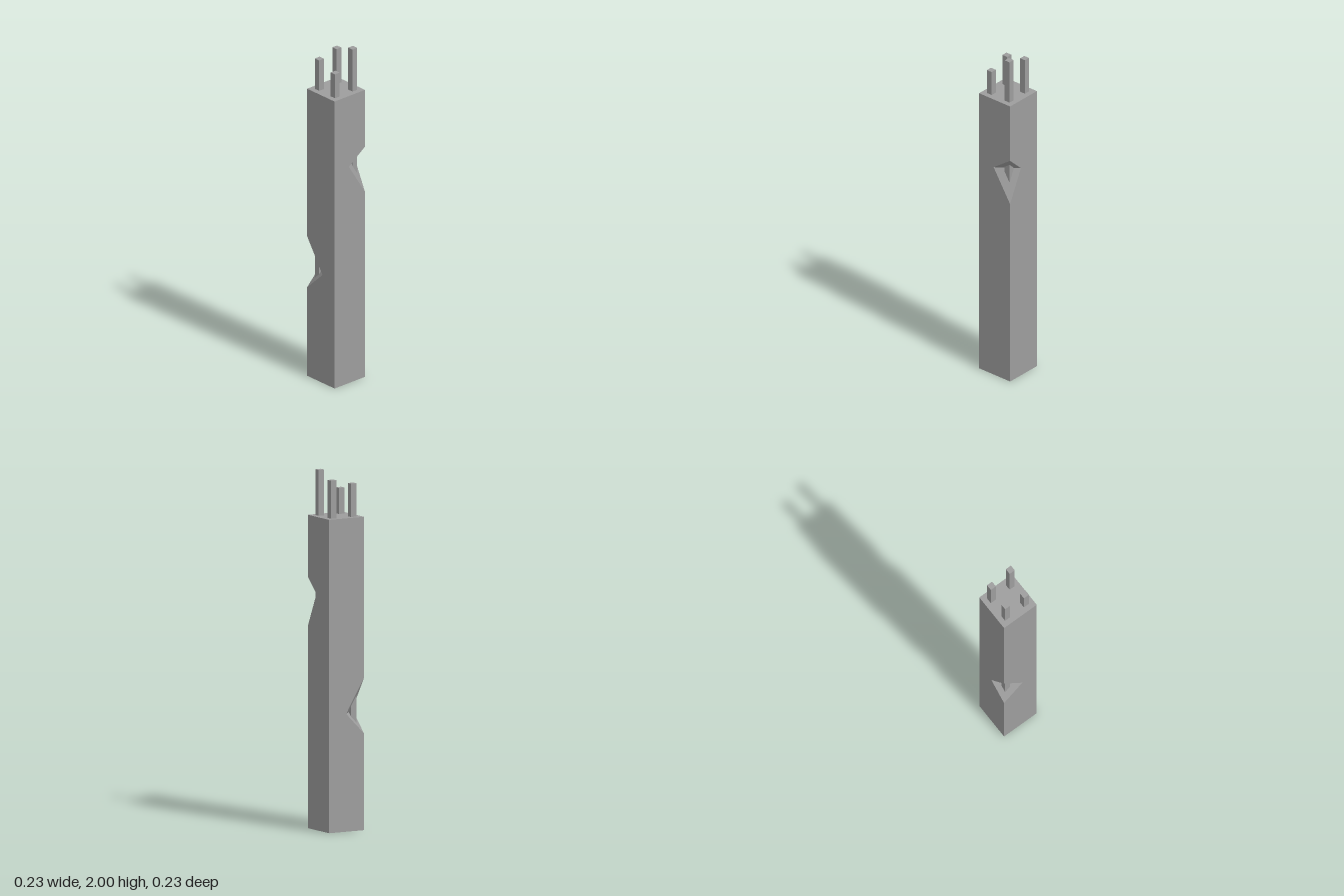
import * as THREE from 'three';

const H = 1.745, W = 0.113; // column height and half width
const BAR = 0.035, BAR_POS = 0.065;

// Flat-shaded geometry from convex fans, each starting at its first corner
function fanGeometry(polygons) {
  const pos = [];
  for (const p of polygons)
    for (let i = 1; i < p.length - 1; i++) pos.push(...p[0], ...p[i], ...p[i + 1]);
  const g = new THREE.BufferGeometry();
  g.setAttribute('position', new THREE.Float32BufferAttribute(pos, 3));
  g.computeVertexNormals();
  return g;
}

// Two adjoining column sides whose shared corner (+x, +z) is chipped away
function chippedSides(top, mid, bottom, frontX, sideZ) {
  const T = [W, top, W], L = [W, bottom, W];
  const A = [frontX, mid, W], B = [W, mid, sideZ];
  const low = [W, 0, W], high = [W, H, W];
  return fanGeometry([
    [A, T, high, [-W, H, W], [-W, 0, W], low, L],
    [B, L, low, [W, 0, -W], [W, H, -W], high, T],
    [T, A, B],
    [L, B, A],
  ]);
}

export function createModel() {
  const group = new THREE.Group();
  const material = new THREE.MeshStandardMaterial({ color: 0x9d9d9d, flatShading: true });
  const add = (geometry, name, parent = group) => {
    const mesh = new THREE.Mesh(geometry, material);
    mesh.name = name;
    parent.add(mesh);
    return mesh;
  };

  // Column: two chipped halves and the end caps
  const column = new THREE.Group();
  column.name = 'column';
  group.add(column);
  add(chippedSides(1.4, 1.315, 1.125, -0.007, 0.022), 'frontSides', column);
  add(chippedSides(0.85, 0.656, 0.537, -0.003, -0.014), 'backSides', column).rotation.y = Math.PI;
  add(fanGeometry([
    [[-W, H, W], [W, H, W], [W, H, -W], [-W, H, -W]],
    [[-W, 0, -W], [W, 0, -W], [W, 0, W], [-W, 0, W]],
  ]), 'endCaps', column);

  // Reinforcing bars run inside the column, showing at the top and in the chips
  const start = 0.1;
  for (const [sx, sz, top] of [[1, 1, 2], [1, -1, 1.957], [-1, -1, 1.93], [-1, 1, 1.89]]) {
    const bar = add(new THREE.BoxGeometry(BAR, top - start, BAR), 'reinforcingBar');
    bar.position.set(sx * BAR_POS, (top + start) / 2, sz * BAR_POS);
  }
  return group;
}
